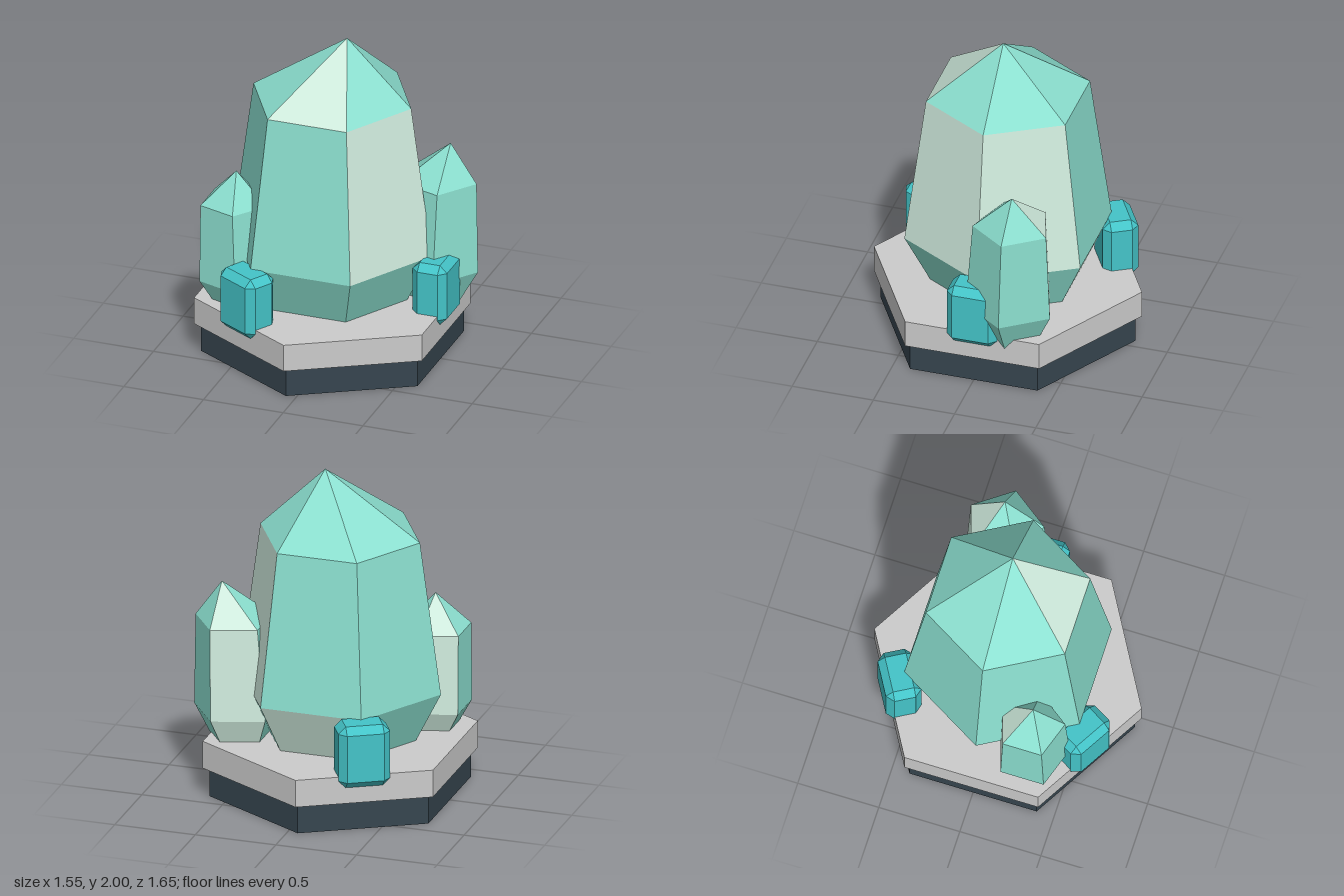
import * as THREE from 'three';
import { ConvexGeometry } from 'three/addons/geometries/ConvexGeometry.js';

const material = (color) => new THREE.MeshStandardMaterial({ color, flatShading: true });
const MINT = material(0x8ce0d0), PALE = material(0xd0ecde), TEAL = material(0x44c4c8);
const STONE = material(0xcccccc), SLATE = material(0x36454f);
const CX = -0.063; // shared axis of the stand and the large crystal

function mesh(name, geometry, mat) {
  const m = new THREE.Mesh(geometry, mat);
  m.name = name;
  return m;
}

// Crystal from rings [x, y, z, radius], bottom to top; radius 0 makes a point.
// isPale(band, side) picks the facets in the lighter tint.
function crystal(name, sides, rings, isPale) {
  const corner = ([x, y, z, r], k) => {
    const a = (k / sides) * Math.PI * 2;
    return [x + r * Math.cos(a), y, z + r * Math.sin(a)];
  };
  const mint = [], pale = [];
  for (let i = 0; i < rings.length - 1; i++) {
    const lo = rings[i], hi = rings[i + 1];
    for (let k = 0; k < sides; k++) {
      const out = isPale(i, k) ? pale : mint;
      const a = corner(lo, k), b = corner(lo, k + 1);
      const c = corner(hi, k), d = corner(hi, k + 1);
      if (lo[3] > 0) out.push(...b, ...a, ...c);
      if (hi[3] > 0) out.push(...b, ...c, ...d);
    }
  }
  const group = new THREE.Group();
  group.name = name;
  for (const [part, points, mat] of [['mintFacets', mint, MINT], ['paleFacets', pale, PALE]]) {
    const g = new THREE.BufferGeometry();
    g.setAttribute('position', new THREE.Float32BufferAttribute(points, 3));
    g.computeVertexNormals();
    group.add(mesh(part, g, mat));
  }
  return group;
}

// Box with every edge cut at 45 degrees
function chamferedBox(w, h, d, c) {
  const points = [];
  for (const sx of [-1, 1]) for (const sy of [-1, 1]) for (const sz of [-1, 1]) {
    for (let face = 0; face < 3; face++) {
      const p = [w / 2, h / 2, d / 2].map((half, axis) => (axis === face ? half : half - c));
      points.push(new THREE.Vector3(p[0] * sx, p[1] * sy, p[2] * sz));
    }
  }
  return new ConvexGeometry(points);
}

export function createModel() {
  const model = new THREE.Group();
  model.name = 'crystalCluster';

  // Two-tier hexagonal stand
  const base = mesh('standBase', new THREE.CylinderGeometry(0.785, 0.785, 0.18, 6), SLATE);
  base.position.set(CX, 0.09, 0);
  const slab = mesh('standSlab', new THREE.CylinderGeometry(0.825, 0.825, 0.17, 6), STONE);
  slab.position.set(CX, 0.265, 0);
  model.add(base, slab);

  // Large central crystal with an off-centre tip
  const paleMain = new Set(['1,4', '2,0', '2,5', '3,1']);
  model.add(crystal('mainCrystal', 6, [
    [CX, 0.3, 0, 0], [CX, 0.3, 0, 0.445], [CX, 0.66, 0, 0.625],
    [CX, 1.605, 0, 0.495], [0.03, 2, 0, 0],
  ], (band, side) => paleMain.has(`${band},${side}`)));

  // Two five-sided side crystals
  const paleSide = (band, side) => side === 3;
  model.add(crystal('leftCrystal', 5, [
    [0.485, 0.25, -0.2, 0], [0.485, 0.25, -0.2, 0.15], [0.503, 0.5, -0.2, 0.273],
    [0.525, 1.07, -0.213, 0.238], [0.595, 1.305, -0.227, 0],
  ], paleSide));
  model.add(crystal('rightCrystal', 5, [
    [-0.54, 0.25, 0.3, 0], [-0.54, 0.25, 0.3, 0.1], [-0.553, 0.475, 0.3, 0.226],
    [-0.57, 0.965, 0.3, 0.204], [-0.55, 1.175, 0.31, 0],
  ], paleSide));

  // Three small blocks spaced evenly around the rim
  const block = chamferedBox(0.215, 0.385, 0.31, 0.044);
  for (let i = 0; i < 3; i++) {
    const a = (i * Math.PI * 2) / 3;
    const m = mesh('smallCrystal' + (i + 1), block, TEAL);
    m.position.set(CX + 0.653 * Math.cos(a), 0.473, 0.653 * Math.sin(a));
    m.rotation.y = -a;
    model.add(m);
  }
  return model;
}
